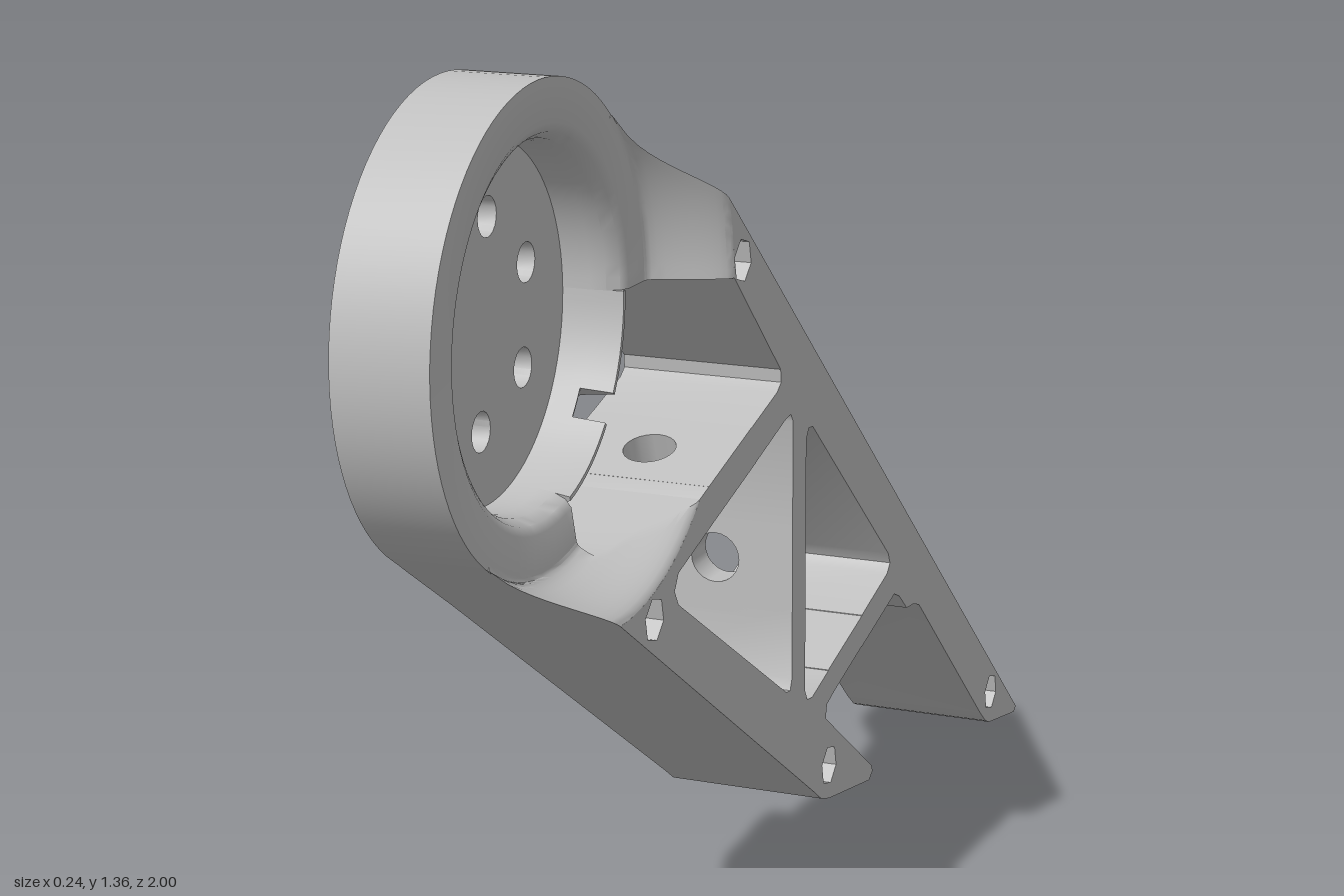
import * as THREE from 'three';
import { toCreasedNormals } from 'three/addons/utils/BufferGeometryUtils.js';

// All outlines are drawn in (z, y); depth runs along x.
const BACK = -0.12, TOP = 0.12, FACE = 0.015;
const CZ = 0.68, CY = 1.038, R = 0.32, FLARE = 0.376;
const rad = THREE.MathUtils.degToRad;

const polar = (r, a) => [CZ + r * Math.cos(a), CY + r * Math.sin(a)];
const arc = (r, a0, a1, n = 16) =>
  Array.from({ length: n + 1 }, (_, i) => polar(r, a0 + (a1 - a0) * i / n));
const circle = (x, y, r, n = 24, turn = 0) => new THREE.Path(
  Array.from({ length: n }, (_, i) => {
    const a = turn + i / n * Math.PI * 2;
    return new THREE.Vector2(x + r * Math.cos(a), y + r * Math.sin(a));
  }));
const outline = pts => new THREE.Shape(pts.map(p => new THREE.Vector2(...p)));

// Angles where the edges of the flared wedges lie at a given radius
const topEdge = r => Math.atan2(0.756, -0.655) + Math.acos(Math.min(1, R / r));
const bottomEdge = r => Math.atan2(-0.837, 0.548) - Math.acos(Math.min(1, R / r));
const strutEdge = r => rad(-106.2) - Math.acos(Math.min(1, 0.337 / r));

export function createModel() {
  const group = new THREE.Group();
  const grey = new THREE.MeshStandardMaterial({ color: 0xbfbfbf, side: THREE.DoubleSide });
  grey.name = 'plain grey';
  const add = (name, geo) => {
    const mesh = new THREE.Mesh(toCreasedNormals(geo, 0.6), grey);
    mesh.name = name;
    group.add(mesh);
    return mesh;
  };
  const slab = (name, shape, x0, x1) => {
    const geo = new THREE.ExtrudeGeometry(shape, { depth: x1 - x0, bevelEnabled: false });
    add(name, geo.rotateY(-Math.PI / 2).translate(x1, 0, 0));
  };

  // Upper chord with its strut stubs
  const upper = outline([
    [-1, 0.008], [-0.99, 0], [-0.85, 0.027], [-0.83, 0.036], [-0.80, 0.06],
    [-0.475, 0.348], [-0.448, 0.357], [-0.416, 0.36], [-0.38, 0.39], [-0.357, 0.40],
    [-0.21, 0.358], [-0.21, 0.409], [-0.322, 0.443], [-0.335, 0.457], [-0.326, 0.475],
    [0.004, 0.758], [0.02, 0.76], [0.03, 0.745], [0.03, 0.63],
    [0.083, 0.63], [0.083, 0.785], [0.091, 0.797], [0.11, 0.795], [0.25, 0.753],
    [0.25, 0.8115], [0.145, 0.842], [0.13, 0.853], [0.132, 0.872],
    ...arc(FLARE, Math.PI, topEdge(FLARE)),
  ]);
  // Lower chord with its strut stubs
  const lower = outline([
    ...arc(FLARE, bottomEdge(FLARE), strutEdge(FLARE)),
    [0.37, 0.777], [0.37, 0.718], [0.50, 0.679], [0.513, 0.657], [0.50, 0.635],
    [0.105, 0.386], [0.09, 0.384], [0.083, 0.40], [0.083, 0.51],
    [0.03, 0.51], [0.03, 0.365], [0.02, 0.348], [0, 0.345], [-0.09, 0.372],
    [-0.09, 0.324], [-0.062, 0.314], [-0.057, 0.293], [-0.26, 0.15],
    [-0.266, 0.139], [-0.25, 0.129], [-0.073, 0.161], [-0.04, 0.172], [-0.01, 0.193],
  ]);
  // Hexagonal bolt holes
  const hex = (z, y) => circle(z, y, 0.031, 6, 0.3);
  upper.holes.push(hex(0.273, 1.056), hex(-0.855, 0.08));
  lower.holes.push(hex(0.58, 0.638), hex(-0.073, 0.214));
  slab('upperChord', upper, BACK, TOP);
  slab('lowerChord', lower, BACK, TOP);

  // Cross struts, each pierced by a round hole
  const struts = [
    [0.31, 0.765, 1, -0.29, 0.057],
    [0.0565, 0.57, 0, 1, 0.053],
    [-0.15, 0.366, 1, -0.29, 0.047],
  ];
  for (const [z, y, dz, dy, t] of struts) {
    const plate = outline([[-0.08, BACK], [0.08, BACK], [0.08, TOP], [-0.08, TOP]]);
    plate.holes.push(circle(0, 0, 0.037));
    const geo = new THREE.ExtrudeGeometry(plate, { depth: t, bevelEnabled: false });
    const along = new THREE.Vector3(0, dy, dz).normalize();
    const across = new THREE.Vector3(1, 0, 0);
    const through = along.clone().cross(across);
    geo.translate(0, 0, -t / 2).applyMatrix4(
      new THREE.Matrix4().makeBasis(along, across, through).setPosition(0, y, z));
    add('crossStrut', geo);
  }

  // Flared wedges blending the round housing into the chords
  const wedge = (name, from, to) => {
    const rows = 14, cols = 10, ring = 2 * (cols + 1), pos = [], idx = [];
    for (let i = 0; i <= rows; i++) {
      const r = 0.31 + (FLARE - 0.31) * i / rows;
      const h = FACE + (TOP - FACE) * THREE.MathUtils.smoothstep(r, 0.315, FLARE);
      for (let j = 0; j < ring; j++) {
        const onTop = j <= cols;
        const k = (onTop ? j : ring - 1 - j) / cols;
        const [z, y] = polar(r, from(r) + (to(r) - from(r)) * k);
        pos.push(onTop ? h : BACK, y, z);
        if (i < rows) {
          const a = i * ring + j, b = i * ring + (j + 1) % ring;
          idx.push(a, b, a + ring, b, b + ring, a + ring);
        }
      }
    }
    const geo = new THREE.BufferGeometry();
    geo.setAttribute('position', new THREE.Float32BufferAttribute(pos, 3));
    geo.setIndex(idx);
    geo.computeVertexNormals();
    add(name, geo);
  };
  wedge('upperFlare', topEdge, () => Math.PI);
  wedge('lowerFlare', strutEdge, bottomEdge);

  // Round housing: full rim outside, sloped and notched wall facing the truss
  const place = geo => geo.rotateZ(-Math.PI / 2).translate(0, CY, CZ);
  const inner = [[0.238, -0.03], [0.238, BACK]];
  const rim = [[0.238, BACK], [R, BACK], [R, FACE], [0.262, FACE], [0.25, 0.008], [0.241, -0.008], ...inner];
  const slope = [[0.238, BACK], [0.305, BACK], [0.305, -0.095], [0.285, -0.07], [0.265, -0.03],
    [0.252, FACE], [0.246, FACE], ...inner];
  const notch = [[0.238, BACK], [0.305, BACK], [0.305, -0.1], [0.275, -0.07], [0.25, -0.035], ...inner];
  const sweep = (name, profile, d0, d1) => {
    const pts = profile.map(p => new THREE.Vector2(...p));
    const segs = Math.max(3, Math.ceil((d1 - d0) / 4));
    add(name, place(new THREE.LatheGeometry(pts, segs, rad(d0), rad(d1 - d0))));
    for (const d of [d0, d1]) {
      const cap = new THREE.ShapeGeometry(new THREE.Shape(pts.slice(0, -1)));
      add(name + 'End', place(cap.rotateY(rad(d) - Math.PI / 2)));
    }
  };
  sweep('housingRim', rim, -180, 106.2);
  sweep('slopedWall', slope, 106.2, 138);
  sweep('wallNotch', notch, 138, 148);
  sweep('slopedWall', slope, 148, 180);

  // Pocket floor with six counterbored screw holes
  for (const [name, x0, x1, hole] of [
    ['pocketFloor', -0.098, -0.07, 0.027], ['pocketBack', BACK, -0.098, 0.014]]) {
    const disc = outline(arc(0.239, 0, Math.PI * 2, 72).slice(0, -1));
    for (let i = 0; i < 6; i++) {
      const [z, y] = polar(0.138, rad(96 + 60 * i));
      disc.holes.push(circle(z, y, hole, 20));
    }
    slab(name, disc, x0, x1);
  }
  return group;
}
